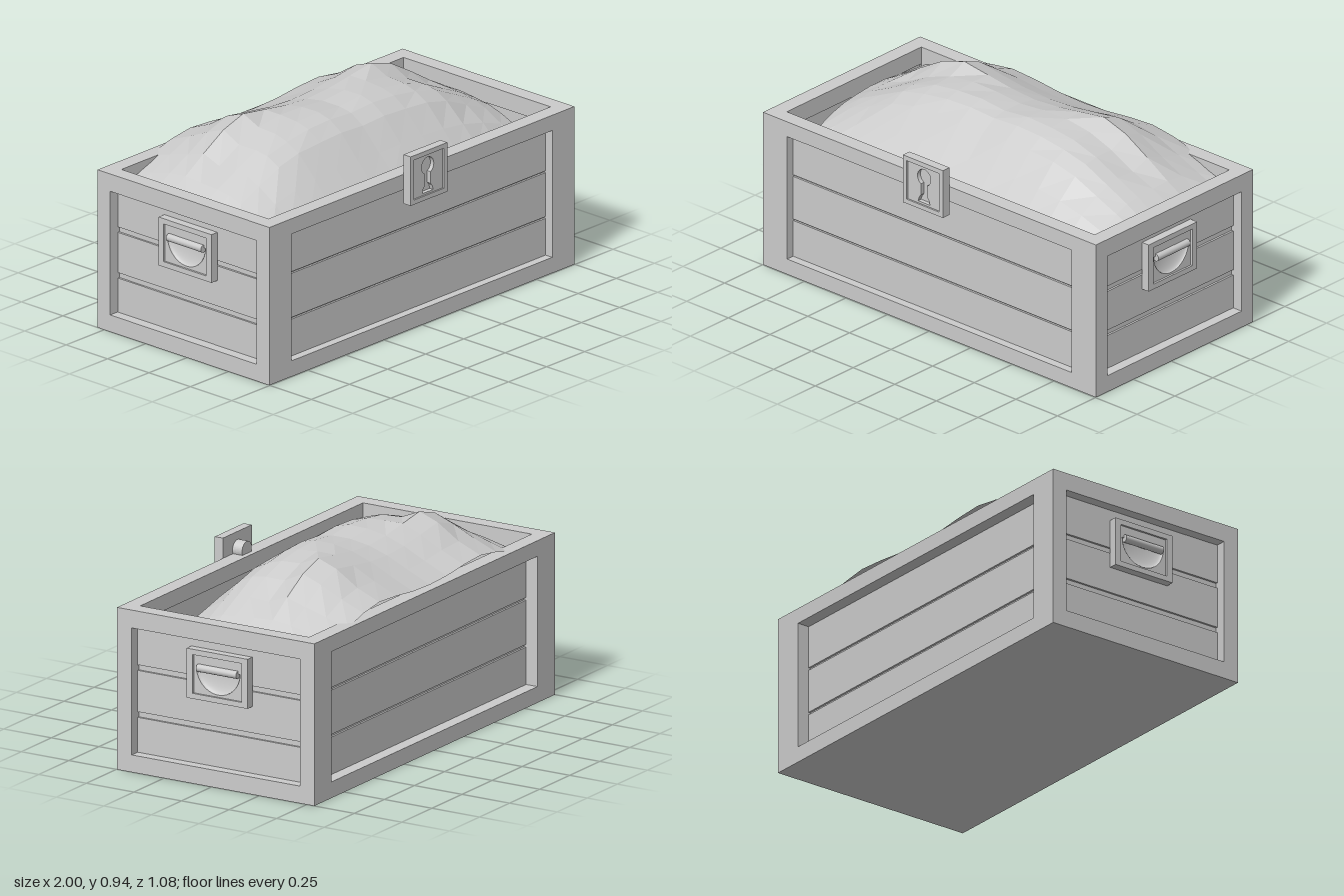
import * as THREE from 'three';

const grey = new THREE.MeshStandardMaterial({ color: 0xcccccc });
const thin = new THREE.MeshStandardMaterial({ color: 0xcccccc, side: THREE.DoubleSide });
const faceted = new THREE.MeshStandardMaterial({ color: 0xcccccc, side: THREE.DoubleSide, flatShading: true });

function add(parent, name, geometry, x = 0, y = 0, z = 0, material = grey) {
  const mesh = new THREE.Mesh(geometry, material);
  mesh.name = name;
  mesh.position.set(x, y, z);
  parent.add(mesh);
  return mesh;
}

// Rectangle outline centred on x = 0
function rect(half, y0, y1, Type = THREE.Shape) {
  const s = new Type();
  s.moveTo(-half, y0);
  s.lineTo(half, y0);
  s.lineTo(half, y1);
  s.lineTo(-half, y1);
  s.closePath();
  return s;
}

// Plate with an optional opening, from z0 to z1
function plate(parent, name, outer, hole, z0, z1) {
  if (hole) outer.holes.push(hole);
  const g = new THREE.ExtrudeGeometry(outer, { depth: z1 - z0, bevelEnabled: false, curveSegments: 16 });
  return add(parent, name, g, 0, 0, z0);
}

// Framed wall with three recessed planks; the outer face lies on local z = 0
function wall(name, half, holeHalf, y0, y1, recess, gap) {
  const g = new THREE.Group();
  g.name = name;
  plate(g, name + 'Frame', rect(half, 0, 0.753), rect(holeHalf, y0, y1, THREE.Path), -0.075, 0);
  const edges = [y0, 0.255, 0.473, y1];
  for (let i = 0; i < 3; i++) {
    const a = edges[i] + (i > 0 ? gap / 2 : 0);
    const b = edges[i + 1] - (i < 2 ? gap / 2 : 0);
    add(g, name + 'Plank', new THREE.BoxGeometry(holeHalf * 2, b - a, 0.014), 0, (a + b) / 2, -recess - 0.007);
  }
  add(g, name + 'Backing', new THREE.BoxGeometry(holeHalf * 2, y1 - y0, 0.006), 0, (y0 + y1) / 2, -recess - 0.013);
  return g;
}

// Rimmed plate with a scooped cup and a grip bar
function handle() {
  const g = new THREE.Group();
  g.name = 'handle';
  plate(g, 'handleRim', rect(0.16, 0.39, 0.62), rect(0.128, 0.415, 0.595, THREE.Path), -0.05, -0.01);
  const scoop = new THREE.Path();
  scoop.absarc(0, 0.54, 0.115, Math.PI, Math.PI * 2);
  scoop.closePath();
  plate(g, 'handlePlate', rect(0.128, 0.415, 0.595), scoop, -0.05, -0.02);
  const cup = new THREE.SphereGeometry(0.115, 20, 8, Math.PI, Math.PI, Math.PI / 2, Math.PI / 2);
  cup.scale(1, 1, 0.24);
  add(g, 'handleCup', cup, 0, 0.54, -0.02, thin);
  const bar = add(g, 'handleBar', new THREE.CylinderGeometry(0.018, 0.018, 0.21, 14), 0, 0.536, -0.018);
  bar.rotation.z = Math.PI / 2;
  return g;
}

function keyhole(Type) {
  const s = new Type();
  s.moveTo(-0.036, 0.645);
  s.lineTo(0.036, 0.645);
  s.lineTo(0.03, 0.665);
  s.lineTo(0.018, 0.68);
  s.lineTo(0.018, 0.735);
  s.absarc(0, 0.77, 0.04, -1.1, Math.PI + 1.1);
  s.lineTo(-0.018, 0.68);
  s.lineTo(-0.03, 0.665);
  s.closePath();
  return s;
}

function lock() {
  const g = new THREE.Group();
  g.name = 'lock';
  plate(g, 'lockRim', rect(0.12, 0.613, 0.847), rect(0.098, 0.635, 0.825, THREE.Path), 0.497, 0.54);
  plate(g, 'lockPlate', rect(0.098, 0.635, 0.825), keyhole(THREE.Path), 0.497, 0.532);
  plate(g, 'keyholeBody', keyhole(THREE.Shape), null, 0.447, 0.512);
  return g;
}

// Lumpy heap: heights over half the width, mirrored to the other side
function heap() {
  const xs = [0, 0.14, 0.28, 0.42, 0.55, 0.68, 0.8, 0.9];
  const rows = [
    [-0.515, 0.765, 0.77, 0.785, 0.793, 0.775, 0.74, 0.7, 0.67],
    [-0.4, 0.815, 0.82, 0.835, 0.84, 0.82, 0.77, 0.72, 0.68],
    [-0.29, 0.865, 0.872, 0.89, 0.91, 0.87, 0.80, 0.745, 0.69],
    [-0.195, 0.895, 0.905, 0.925, 0.945, 0.905, 0.83, 0.755, 0.7],
    [-0.1, 0.91, 0.922, 0.925, 0.905, 0.86, 0.795, 0.75, 0.7],
    [0, 0.91, 0.924, 0.918, 0.9, 0.86, 0.8, 0.745, 0.69],
    [0.07, 0.898, 0.906, 0.9, 0.88, 0.85, 0.79, 0.735, 0.68],
    [0.14, 0.855, 0.862, 0.855, 0.845, 0.815, 0.76, 0.71, 0.66],
    [0.24, 0.752, 0.755, 0.752, 0.745, 0.73, 0.7, 0.66, 0.62],
    [0.33, 0.66, 0.66, 0.658, 0.65, 0.64, 0.62, 0.6, 0.58],
    [0.41, 0.58, 0.58, 0.575, 0.57, 0.565, 0.56, 0.55, 0.54],
  ];
  const n = xs.length - 1;
  const cols = n * 2 + 1;
  const pos = [], index = [];
  rows.forEach(([z, ...h], r) => {
    for (let c = -n; c <= n; c++) pos.push(Math.sign(c) * xs[Math.abs(c)], h[Math.abs(c)], z);
    if (r === 0) return;
    for (let c = 0; c < cols - 1; c++) {
      const a = (r - 1) * cols + c, b = a + cols;
      index.push(a, b, a + 1, a + 1, b, b + 1);
    }
  });
  const g = new THREE.BufferGeometry();
  g.setAttribute('position', new THREE.Float32BufferAttribute(pos, 3));
  g.setIndex(index);
  g.computeVertexNormals();
  return g;
}

export function createModel() {
  const model = new THREE.Group();
  model.name = 'openChest';

  // Front and back walls
  const front = wall('frontWall', 1, 0.855, 0.075, 0.68, 0.04, 0.008);
  front.position.z = 0.497;
  const back = wall('backWall', 1, 0.855, 0.075, 0.68, 0.06, 0.012);
  back.rotation.y = Math.PI;
  back.position.z = -0.54;
  model.add(front, back);

  // End walls with handles
  for (const s of [1, -1]) {
    const end = wall(s > 0 ? 'leftWall' : 'rightWall', 0.5175, 0.442, 0.08, 0.67, 0.05, 0.026);
    end.add(handle());
    end.rotation.y = s * Math.PI / 2;
    end.position.set(s, 0, -0.0225);
    model.add(end);
  }

  add(model, 'floor', new THREE.BoxGeometry(1.86, 0.06, 0.92), 0, 0.03, -0.02);
  add(model, 'heap', heap(), 0, 0, 0, faceted);
  model.add(lock());
  return model;
}
